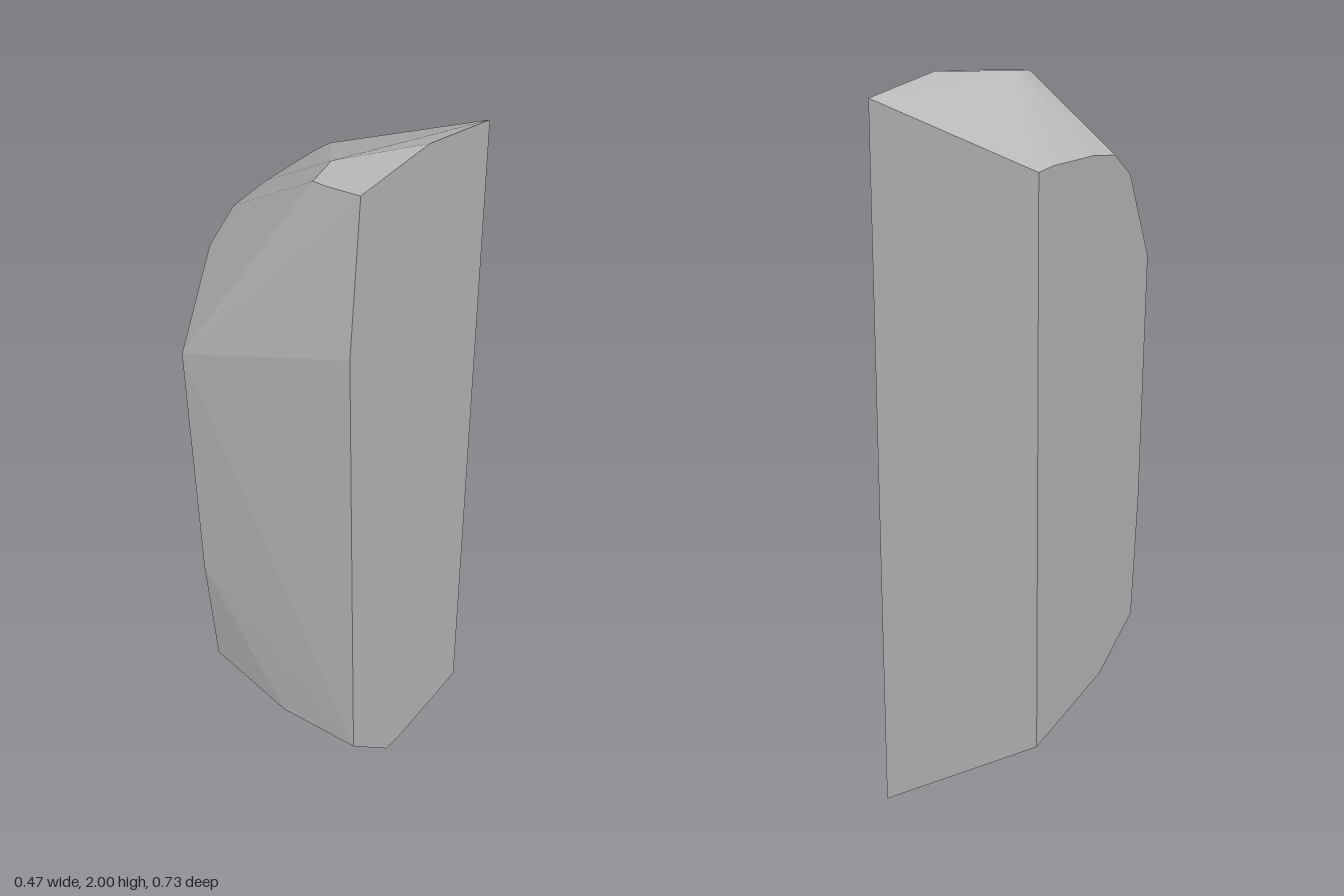
import * as THREE from 'three';
import { ConvexGeometry } from 'three/addons/geometries/ConvexGeometry.js';

const HALF_WIDTH = 0.235;

// Flat side outlines as [z, y], running from the back top corner over the front to the back bottom
const leftOutline = [
  [-0.365, 1.94], [-0.03, 2], [0.297, 2], [0.34, 1.6],
  [0.305, 0.27], [0.1, 0.07], [0.03, 0.05], [-0.365, 0],
];
const rightOutline = [
  [-0.365, 1.775], [-0.28, 1.785], [-0.04, 1.793], [0.11, 1.785], [0.22, 1.725],
  [0.365, 1.485], [0.335, 0.77], [0.295, 0.41], [0.06, 0.31], [-0.365, 0.27],
];

// Corners between the two sides: three on the flat top, one on the lower front edge
const innerCorners = [
  [0.085, 2, 0.17], [0.105, 2, 0.285], [0.145, 2, 0.293], [0.0, 0.3, 0.306],
];

export function createModel() {
  const stone = new THREE.MeshStandardMaterial({ color: 0xb8b8b8 });
  stone.name = 'grey stone';

  const onSide = (x) => ([z, y]) => new THREE.Vector3(x, y, z);
  const points = [
    ...leftOutline.map(onSide(HALF_WIDTH)),
    ...rightOutline.map(onSide(-HALF_WIDTH)),
    ...innerCorners.map((p) => new THREE.Vector3(...p)),
  ];

  // Faceted stone chunk with flat sides and back and chipped top and bottom
  const chunk = new THREE.Mesh(new ConvexGeometry(points), stone);
  chunk.name = 'stoneChunk';

  const group = new THREE.Group();
  group.name = 'stone';
  group.add(chunk);
  return group;
}
